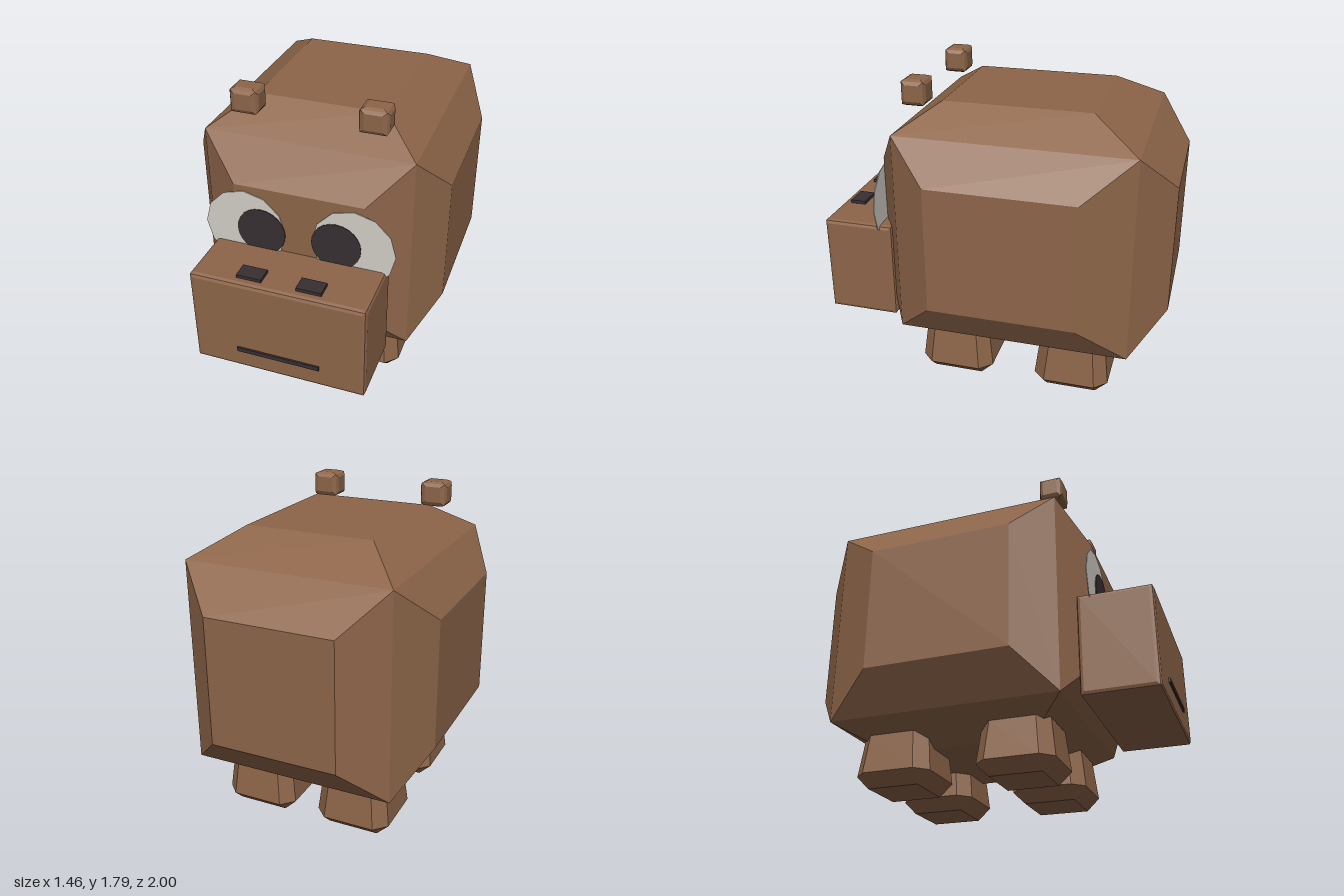
import * as THREE from 'three';

const brown = new THREE.MeshStandardMaterial({ color: 0x8d6549 });
brown.name = 'brown hide';
const white = new THREE.MeshStandardMaterial({ color: 0xd2cec6 });
white.name = 'eye white';
const dark = new THREE.MeshStandardMaterial({ color: 0x372f31 });
dark.name = 'dark detail';

// Flat-shaded geometry from a list of quads
function fromQuads(quads) {
  const pos = [];
  for (const [a, b, c, d] of quads) pos.push(...a, ...b, ...c, ...a, ...c, ...d);
  const g = new THREE.BufferGeometry();
  g.setAttribute('position', new THREE.Float32BufferAttribute(pos, 3));
  g.computeVertexNormals();
  return g;
}

// Box with double-faceted edges. Each axis lists six stops:
// [outer-, corner-, inset-, inset+, corner+, outer+]
function facetedBox(axes) {
  const quads = [];
  for (let a = 0; a < 3; a++) {
    const u = (a + 1) % 3, v = (a + 2) % 3;
    for (const s of [-1, 1]) {
      const loop = [[-1, -1], [1, -1], [1, 1], [-1, 1]];
      if (s < 0) loop.reverse();
      const ring = (depth, side) => loop.map(([su, sv]) => {
        const p = [0, 0, 0];
        const stop = (sign, i) => (sign < 0 ? i : 5 - i);
        p[a] = axes[a][stop(s, depth)];
        p[u] = axes[u][stop(su, side)];
        p[v] = axes[v][stop(sv, side)];
        return p;
      });
      const inner = ring(0, 2), outer = ring(1, 1);
      quads.push(inner);
      for (let i = 0; i < 4; i++) {
        const j = (i + 1) % 4;
        quads.push([outer[i], outer[j], inner[j], inner[i]]);
      }
    }
  }
  return fromQuads(quads);
}

// Six symmetric stops around a centre
const stops = (c, outer, corner, inset) =>
  [c - outer, c - corner, c - inset, c + inset, c + corner, c + outer];

// Tapered leg with cut corners and a bevelled sole: rings of [y, outer, inner]
function legGeometry() {
  const rings = [[0.005, 0.145, 0.145], [0.075, 0.217, 0.148], [0.29, 0.192, 0.128]].map(
    ([y, o, i]) => [[o, i], [i, o], [-i, o], [-o, i], [-o, -i], [-i, -o], [i, -o], [o, -i]]
      .map(([x, z]) => [x, y, z]));
  const quads = [];
  for (let r = 0; r < 2; r++) {
    for (let i = 0; i < 8; i++) {
      const j = (i + 1) % 8;
      quads.push([rings[r][i], rings[r + 1][i], rings[r + 1][j], rings[r][j]]);
    }
  }
  const [b, , t] = rings;
  quads.push([b[0], b[2], b[4], b[6]]);
  quads.push([t[0], t[7], t[6], t[5]], [t[0], t[5], t[4], t[1]], [t[1], t[4], t[3], t[2]]);
  return fromQuads(quads);
}

export function createModel() {
  const model = new THREE.Group();
  model.name = 'blockyAnimal';
  const add = (name, geometry, material, x = 0, y = 0, z = 0) => {
    const mesh = new THREE.Mesh(geometry, material);
    mesh.name = name;
    mesh.position.set(x, y, z);
    model.add(mesh);
    return mesh;
  };

  // Body and snout
  add('body', facetedBox([
    stops(0, 0.73, 0.583, 0.365),
    stops(0.945, 0.73, 0.585, 0.365),
    [-1, -0.812, -0.544, 0.28, 0.5, 0.646],
  ]), brown);
  add('snout', facetedBox([
    stops(0, 0.49, 0.483, 0.467),
    stops(0.647, 0.29, 0.283, 0.267),
    stops(0.782, 0.208, 0.201, 0.185),
  ]), brown);

  // Mouth line
  add('mouth', new THREE.BoxGeometry(0.47, 0.026, 0.016), dark, 0, 0.487, 0.992);

  const ear = facetedBox([
    stops(0, 0.081, 0.07, 0.048),
    stops(0, 0.073, 0.063, 0.045),
    stops(0, 0.07, 0.06, 0.042),
  ]);
  const leg = legGeometry();
  const disc = (r, sides) =>
    new THREE.CylinderGeometry(r, r, 0.005, sides).rotateX(Math.PI / 2).rotateZ(Math.PI / 2);
  const eyeWhite = disc(0.232, 12), pupil = disc(0.139, 24);
  const nostril = new THREE.BoxGeometry(0.14, 0.025, 0.092);

  // Mirrored parts
  for (const [side, s] of [['left', 1], ['right', -1]]) {
    add(side + 'Ear', ear, brown, s * 0.352, 1.718, 0.43);
    add(side + 'EyeWhite', eyeWhite, white, s * 0.308, 1.047, 0.65);
    add(side + 'Pupil', pupil, dark, s * 0.213, 1.045, 0.654);
    add(side + 'Nostril', nostril, dark, s * 0.166, 0.943, 0.895);
    add(side + 'FrontLeg', leg, brown, s * 0.292, 0, 0.21);
    add(side + 'BackLeg', leg, brown, s * 0.292, 0, -0.483);
  }
  return model;
}
